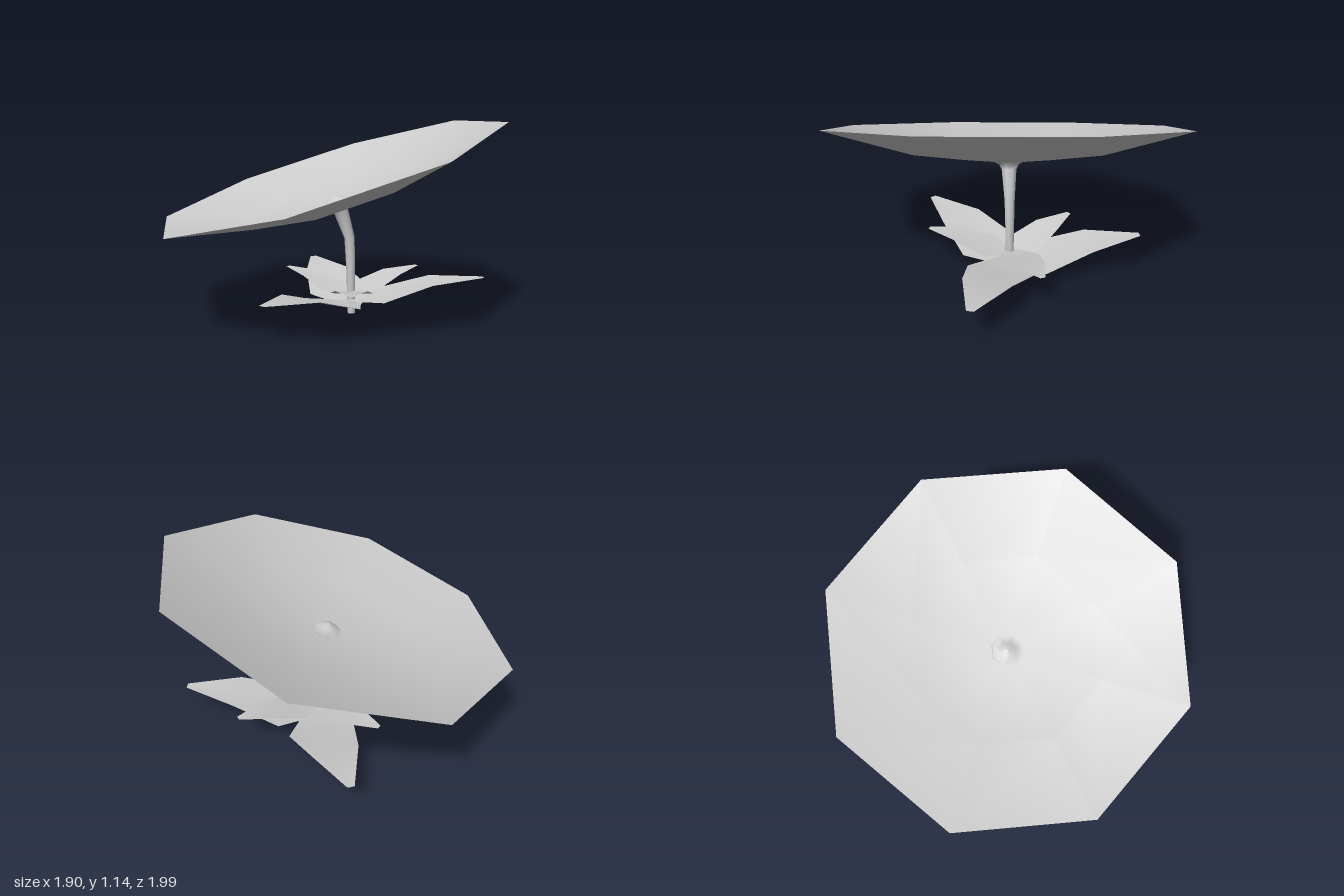
import * as THREE from 'three';

const grey = new THREE.MeshStandardMaterial({ color: 0xcccccc, side: THREE.DoubleSide });
grey.name = 'pale grey';

function addMesh(parent, geometry, name) {
  const mesh = new THREE.Mesh(geometry, grey);
  mesh.name = name;
  parent.add(mesh);
  return mesh;
}

function buildGeometry(positions, indices) {
  const g = new THREE.BufferGeometry();
  g.setAttribute('position', new THREE.Float32BufferAttribute(positions, 3));
  g.setIndex(indices);
  g.computeVertexNormals();
  return g;
}

// Bent octagonal stem, flared at the top; each ring is [x, y, radius, tilt]
function stemGeometry() {
  const rings = [
    [0.15, 0, 0.023, 0], [0.145, 0.25, 0.026, 0.03], [0.136, 0.46, 0.031, 0.16],
    [0.08, 0.63, 0.045, 0.32], [0.068, 0.655, 0.06, 0.3], [0.06, 0.672, 0.092, 0.304],
  ];
  const n = 8, pos = [], idx = [];
  rings.forEach(([x, y, r, t], i) => {
    for (let k = 0; k < n; k++) {
      const a = ((k + 0.5) / n) * Math.PI * 2, c = r * Math.cos(a);
      pos.push(x + c * Math.cos(t), y + c * Math.sin(t), r * Math.sin(a));
      if (i === rings.length - 1) continue;
      const p = i * n + k, q = i * n + ((k + 1) % n);
      idx.push(p, p + n, q, q, p + n, q + n);
    }
  });
  return buildGeometry(pos, idx);
}

// Leaf blade growing along +x; each station is [distance, height, half width]
function leafGeometry(stations) {
  const pos = [], idx = [];
  stations.forEach(([d, h, w], i) => {
    pos.push(d, h + 0.05 * w, -w, d, h, 0, d, h + 0.05 * w, w);
    if (i === stations.length - 1) return;
    for (let k = 0; k < 2; k++) {
      const p = i * 3 + k;
      idx.push(p, p + 1, p + 3, p + 1, p + 4, p + 3);
    }
  });
  return buildGeometry(pos, idx);
}

export function createModel() {
  const model = new THREE.Group();
  model.name = 'plant';

  // Wide octagonal bloom: a shallow dish with a small central bump
  const profile = [[0, -0.145], [0.045, -0.158], [0.095, -0.19], [0.56, -0.14], [1.05, 0]];
  const bloom = addMesh(model, new THREE.LatheGeometry(
    profile.map(([r, h]) => new THREE.Vector2(r, h)), 8, Math.PI / 8), 'bloom');
  bloom.position.set(0, 0.85, 0);
  bloom.rotation.set(0, -0.066, 0.304, 'YXZ');

  addMesh(model, stemGeometry(), 'stem');
  const base = addMesh(model, new THREE.CircleGeometry(0.023, 8, Math.PI / 8), 'stemBase');
  base.rotation.x = Math.PI / 2;
  base.position.x = 0.15;

  // Two whorls of three leaves; angles run from +x towards +z
  const large = leafGeometry([[-0.03, 0.05, 0.05], [0.19, 0.075, 0.2], [0.47, 0.168, 0.14], [0.78, 0.197, 0.02]]);
  const small = leafGeometry([[-0.02, 0.125, 0.03], [0.12, 0.145, 0.125], [0.3, 0.205, 0.09], [0.495, 0.228, 0.015]]);
  const whorl = (geometry, name, leaves) => leaves.forEach(([degrees, lift]) => {
    const leaf = addMesh(model, geometry, name);
    leaf.position.set(0.15, lift, 0);
    leaf.rotation.y = -THREE.MathUtils.degToRad(degrees);
  });
  whorl(large, 'largeLeaf', [[18, 0.03], [143, 0.012], [267, 0]]);
  whorl(small, 'smallLeaf', [[-17, 0.008], [107, 0], [232, -0.006]]);

  return model;
}
